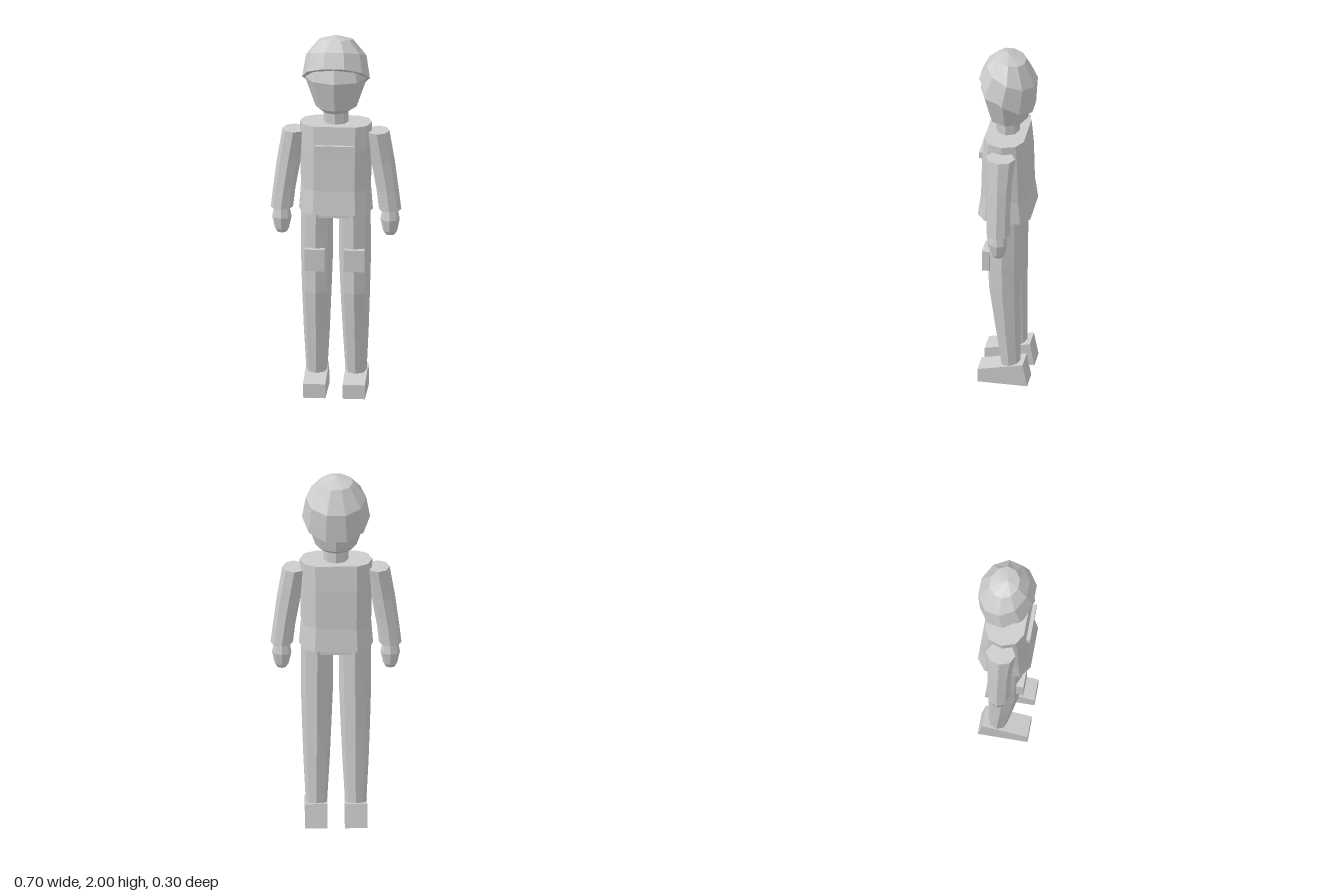
import * as THREE from 'three';

const grey = new THREE.MeshStandardMaterial({ color: 0xcccccc, flatShading: true });
grey.name = 'light grey';

// Unit polygon cross-section with a corner on +x
const polygon = (n) => Array.from({ length: n }, (_, i) => {
  const a = (i / n) * Math.PI * 2;
  return [Math.cos(a), Math.sin(a)];
});

// Closed skin over rings listed bottom to top: [y, x, z, rx, rz, tilt]
// where tilt raises the front of the ring and lowers its back.
function loft(name, section, rings) {
  const n = section.length;
  const pts = rings.map(([y, x, z, rx, rz, tilt = 0]) =>
    section.map(([c, s]) => [x + c * rx, y + s * tilt, z + s * rz]));
  const centre = ([y, x, z]) => [x, y, z];
  const out = [];
  const tri = (...p) => p.forEach((v) => out.push(...v));
  const last = rings.length - 1;
  for (let i = 0; i < n; i++) {
    const j = (i + 1) % n;
    for (let r = 0; r < last; r++) {
      const b = pts[r], t = pts[r + 1];
      tri(b[i], t[i], t[j]);
      tri(b[i], t[j], b[j]);
    }
    tri(centre(rings[0]), pts[0][i], pts[0][j]);
    tri(centre(rings[last]), pts[last][j], pts[last][i]);
  }
  const g = new THREE.BufferGeometry();
  g.setAttribute('position', new THREE.Float32BufferAttribute(out, 3));
  g.computeVertexNormals();
  const m = new THREE.Mesh(g, grey);
  m.name = name;
  return m;
}

function box(name, w, h, d, x, y, z) {
  const m = new THREE.Mesh(new THREE.BoxGeometry(w, h, d), grey);
  m.position.set(x, y, z);
  m.name = name;
  return m;
}

// Wedge shoe: side profile (z, y) extruded across x
function shoe(name, x) {
  const s = new THREE.Shape();
  [[0.135, 0], [0.135, 0.078], [-0.11, 0.13], [-0.135, 0]].forEach(([z, y], i) =>
    i ? s.lineTo(-z, y) : s.moveTo(-z, y));
  const g = new THREE.ExtrudeGeometry(s, { depth: 0.12, bevelEnabled: false });
  g.translate(0, 0, -0.06).rotateY(Math.PI / 2);
  const m = new THREE.Mesh(g, grey);
  m.position.x = x;
  m.name = name;
  return m;
}

export function createModel() {
  const model = new THREE.Group();
  model.name = 'figure';
  const oct = polygon(8);
  const dec = polygon(10);

  // Head, tilted cap and neck
  model.add(loft('head', oct, [
    [1.575, 0, 0, 0.07, 0.07],
    [1.6, 0, -0.003, 0.11, 0.105],
    [1.765, 0, 0, 0.168, 0.148],
    [1.87, 0, -0.005, 0.15, 0.12],
  ]));
  model.add(loft('cap', dec, [
    [1.762, 0, 0.002, 0.182, 0.152, 0.095],
    [1.882, 0, -0.022, 0.162, 0.138, 0.054],
    [1.971, 0, -0.018, 0.092, 0.082, 0.015],
    [2, 0, 0, 0.001, 0.001],
  ]));
  model.add(loft('neck', oct, [
    [1.48, 0, 0, 0.066, 0.064],
    [1.6, 0, 0, 0.066, 0.064],
  ]));

  // Jacket with a broad front and back panel
  const jacket = [
    [1, 0], [0.88, 0.68], [0.58, 1], [-0.58, 1], [-0.88, 0.68],
    [-1, 0], [-0.88, -0.68], [-0.58, -1], [0.58, -1], [0.88, -0.68],
  ];
  model.add(loft('jacket', jacket, [
    [1.03, 0, 0, 0.198, 0.143],
    [1.16, 0, 0, 0.188, 0.126],
    [1.38, 0, 0, 0.192, 0.12],
    [1.515, 0, 0, 0.194, 0.107],
  ]));
  model.add(box('chestPocket', 0.208, 0.037, 0.04, 0, 1.397, 0.118));
  model.add(box('hips', 0.17, 0.08, 0.2, 0, 1.04, -0.005));

  // Limbs on both sides
  for (const [side, s] of [['left', 1], ['right', -1]]) {
    model.add(loft(side + 'Sleeve', oct, [
      [1.03, s * 0.29, 0, 0.06, 0.064],
      [1.14, s * 0.277, 0, 0.06, 0.062],
      [1.3, s * 0.252, 0, 0.064, 0.066],
      [1.47, s * 0.224, 0, 0.063, 0.08],
    ]));
    model.add(loft(side + 'Hand', oct, [
      [0.89, s * 0.29, 0, 0.026, 0.026],
      [0.91, s * 0.29, 0, 0.038, 0.038],
      [0.975, s * 0.29, 0, 0.052, 0.052],
      [1.05, s * 0.29, 0, 0.038, 0.038],
    ]));
    model.add(loft(side + 'Leg', oct, [
      [0.1, s * 0.105, -0.035, 0.056, 0.052],
      [0.35, s * 0.104, -0.017, 0.07, 0.07],
      [0.57, s * 0.103, -0.002, 0.079, 0.086],
      [0.75, s * 0.102, 0, 0.085, 0.09],
      [1.06, s * 0.1, 0.002, 0.086, 0.098],
    ]));
    model.add(box(side + 'ThighPocket', 0.108, 0.12, 0.04, s * 0.107, 0.765, 0.092));
    model.add(shoe(side + 'Shoe', s * 0.106));
  }
  return model;
}
